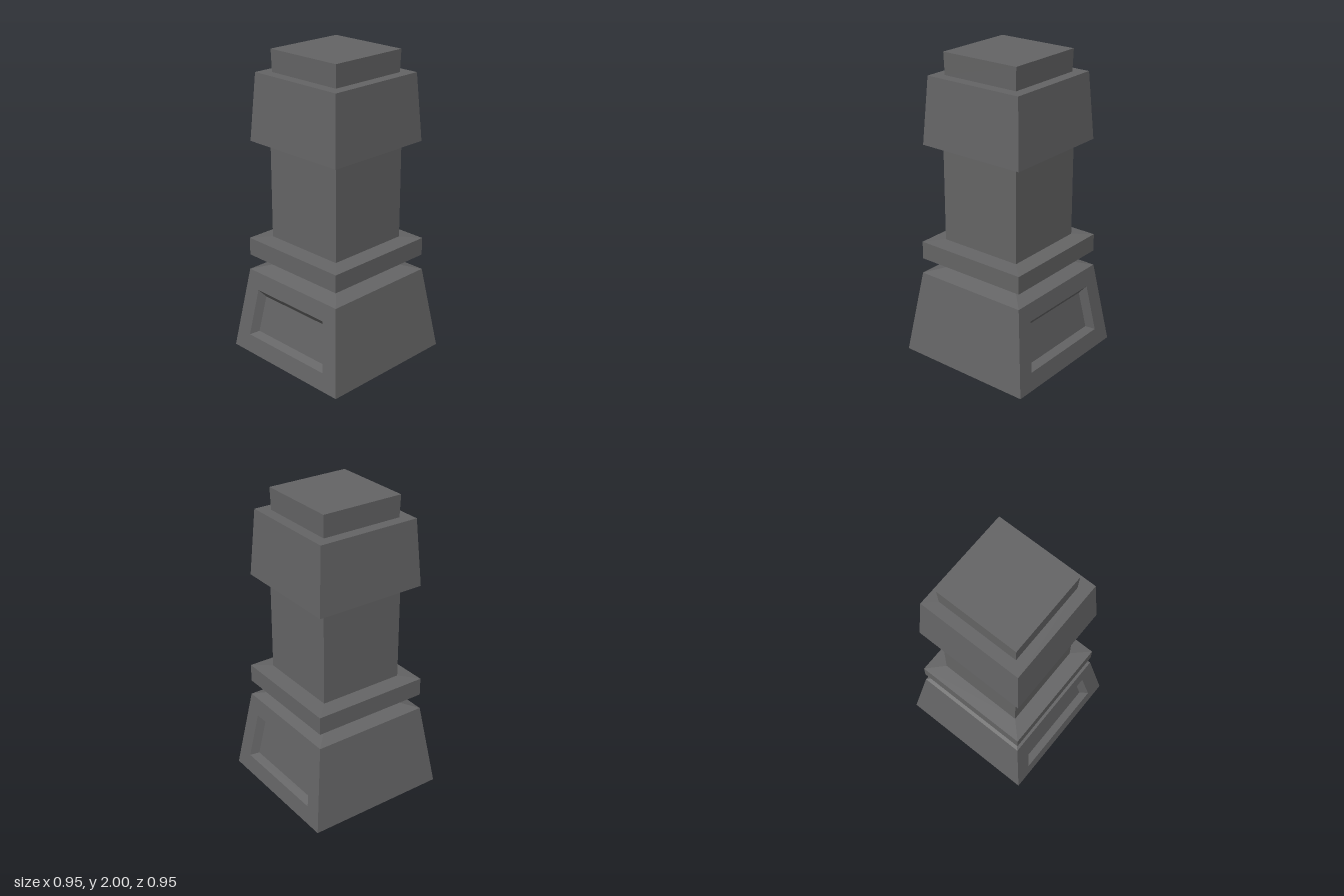
import * as THREE from 'three';

const stone = new THREE.MeshStandardMaterial({ color: 0x646465, side: THREE.DoubleSide });
stone.name = 'dark grey stone';

// Flat-shaded mesh from four-cornered faces (corners anticlockwise from outside)
function quadMesh(name, quads) {
  const pos = quads.flatMap(([a, b, c, d]) => [a, b, c, a, c, d].flat());
  const geo = new THREE.BufferGeometry();
  geo.setAttribute('position', new THREE.Float32BufferAttribute(pos, 3));
  geo.computeVertexNormals();
  const mesh = new THREE.Mesh(geo, stone);
  mesh.name = name;
  return mesh;
}

// Square loop of half-width h at height y
const square = ([h, y]) => [[-h, y, h], [h, y, h], [h, y, -h], [-h, y, -h]];

// Faces joining two four-cornered loops
const band = (a, b, sides = [0, 1, 2, 3]) =>
  sides.map((i) => [a[i], a[(i + 1) % 4], b[(i + 1) % 4], b[i]]);

// Square shell through a profile of [half-width, height]
function shell(name, profile, closed = false) {
  const loops = profile.map(square);
  const quads = loops.slice(1).flatMap((loop, i) => band(loops[i], loop));
  if (closed) quads.push(loops[loops.length - 1]);
  return quadMesh(name, quads);
}

const FOOT = [0.473, 0], RIM = [0.393, 0.555];
const wallZ = (y) => FOOT[0] + (RIM[0] - FOOT[0]) * (y / RIM[1]);

// Trapezoid on the sloping wall, sunk inward by depth
const trapezoid = (wBottom, y0, wTop, y1, depth) => [
  [-wBottom, y0, wallZ(y0) - depth], [wBottom, y0, wallZ(y0) - depth],
  [wTop, y1, wallZ(y1) - depth], [-wTop, y1, wallZ(y1) - depth],
];

// Sloping wall with a bevelled sunken panel
function panelWall(name) {
  const outer = trapezoid(FOOT[0], FOOT[1], RIM[0], RIM[1], 0);
  const opening = trapezoid(0.342, 0.117, 0.297, 0.44, 0);
  const panel = trapezoid(0.302, 0.14, 0.266, 0.392, 0.045);
  return quadMesh(name, [...band(outer, opening), ...band(opening, panel), panel]);
}

export function createModel() {
  const model = new THREE.Group();
  model.name = 'pillar';

  // Hollow base: panelled front and back, plain sides, open underneath
  const front = panelWall('basePanelFront');
  const back = panelWall('basePanelBack');
  back.rotation.y = Math.PI;
  const sides = quadMesh('baseSides', band(square(FOOT), square(RIM), [1, 3]));
  model.add(front, back, sides);

  // Stacked square sections up to the cap
  model.add(
    shell('baseShoulder', [RIM, [0.285, 0.587]]),
    shell('neck', [[0.285, 0.587], [0.285, 0.646]]),
    shell('collar', [[0.285, 0.646], [0.39, 0.657], [0.39, 0.774], [0.285, 0.785]]),
    shell('shaft', [[0.285, 0.785], [0.285, 1.387]]),
    shell('head', [[0.285, 1.387], [0.372, 1.425], [0.343, 1.858], [0.271, 1.858]]),
    shell('cap', [[0.271, 1.858], [0.275, 2]], true),
  );
  return model;
}
